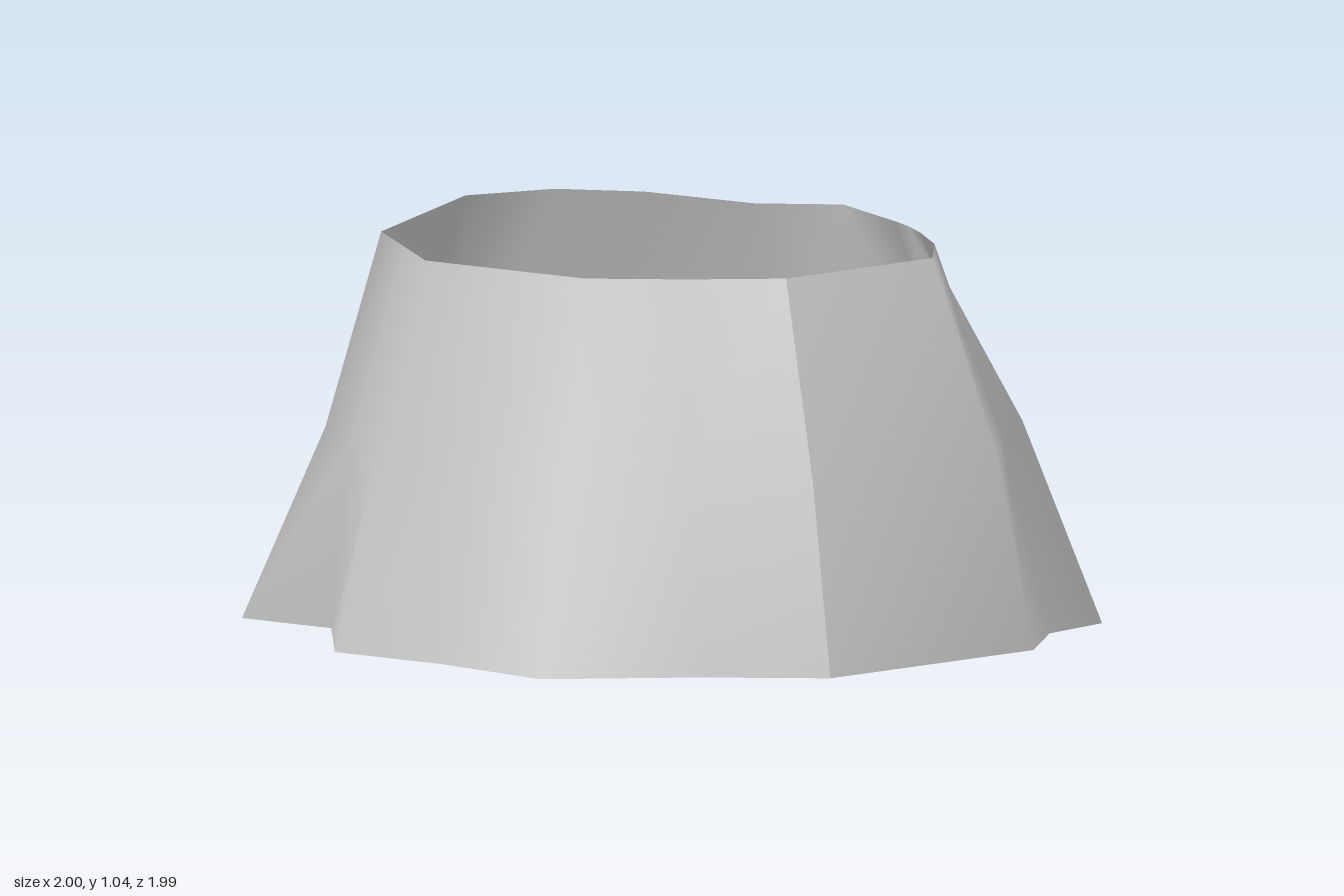
import * as THREE from 'three';

// Three cross-sections of the pleated cloth, running clockwise (seen from above)
// from the sewn seam at the front left corner.
const hem = [ // x, y, z
  [0.68, 0.07, 0.69], [0.38, 0.075, 0.81], [0.04, 0.08, 0.99], [-0.26, 0.08, 0.835],
  [-0.57, 0.08, 0.73], [-0.68, 0.09, 0.43], [-1, 0.06, 0.155], [-0.88, 0.075, -0.16],
  [-0.69, 0.085, -0.48], [-0.6, 0.08, -0.69], [-0.35, 0.045, -0.92], [-0.15, 0.08, -1],
  [0.4, 0, -1], [0.75, 0.03, -0.6], [0.945, 0.035, -0.585], [0.93, 0.06, -0.23], [1, 0.07, 0.1],
];
const middle = [ // x, z
  [0.615, 0.63], [0.33, 0.72], [0.05, 0.845], [-0.22, 0.735], [-0.5, 0.635], [-0.635, 0.43],
  [-0.785, 0.16], [-0.765, -0.41], [-0.655, -0.515], [-0.55, -0.6], [-0.31, -0.8],
  [-0.02, -0.815], [0.56, -0.67], [0.63, -0.47], [0.78, -0.47], [0.82, -0.2], [0.9, 0.08],
].map(([x, z]) => [x, 0.54, z]);
const waist = [ // x, y, z
  [0.5, 1.01, 0.49], [0.275, 1.01, 0.58], [0.05, 1.015, 0.675], [-0.18, 1.015, 0.6],
  [-0.41, 1.015, 0.52], [-0.535, 1.015, 0.315], [-0.66, 1.015, 0.11], [-0.6, 1.04, -0.35],
  [-0.42, 1.045, -0.49], [-0.23, 1.03, -0.61], [0.04, 1.01, -0.64], [0.25, 1.01, -0.69],
  [0.43, 1, -0.54], [0.5, 1.005, -0.44], [0.56, 1.005, -0.35], [0.66, 1.01, -0.16],
  [0.73, 1.01, 0.06],
];

// Joins rings from bottom to top; the first column is repeated to leave a sharp seam.
function loft(rings) {
  const positions = [], indices = [];
  const columns = rings[0].length + 1;
  for (const ring of rings) {
    for (let i = 0; i < columns; i++) positions.push(...ring[i % ring.length]);
  }
  for (let r = 0; r < rings.length - 1; r++) {
    for (let i = 0; i < columns - 1; i++) {
      const low = r * columns + i, high = low + columns;
      indices.push(low, high, low + 1, low + 1, high, high + 1);
    }
  }
  const geometry = new THREE.BufferGeometry();
  geometry.setAttribute('position', new THREE.Float32BufferAttribute(positions, 3));
  geometry.setIndex(indices);
  geometry.computeVertexNormals();
  return geometry;
}

export function createModel() {
  const group = new THREE.Group();
  group.name = 'pleatedSkirt';

  const cloth = new THREE.MeshStandardMaterial({ color: 0xcccccc, side: THREE.DoubleSide });
  cloth.name = 'light grey cloth';

  // Open cloth tube
  const skirt = new THREE.Mesh(loft([hem, middle, waist]), cloth);
  skirt.name = 'skirtCloth';
  group.add(skirt);
  return group;
}
